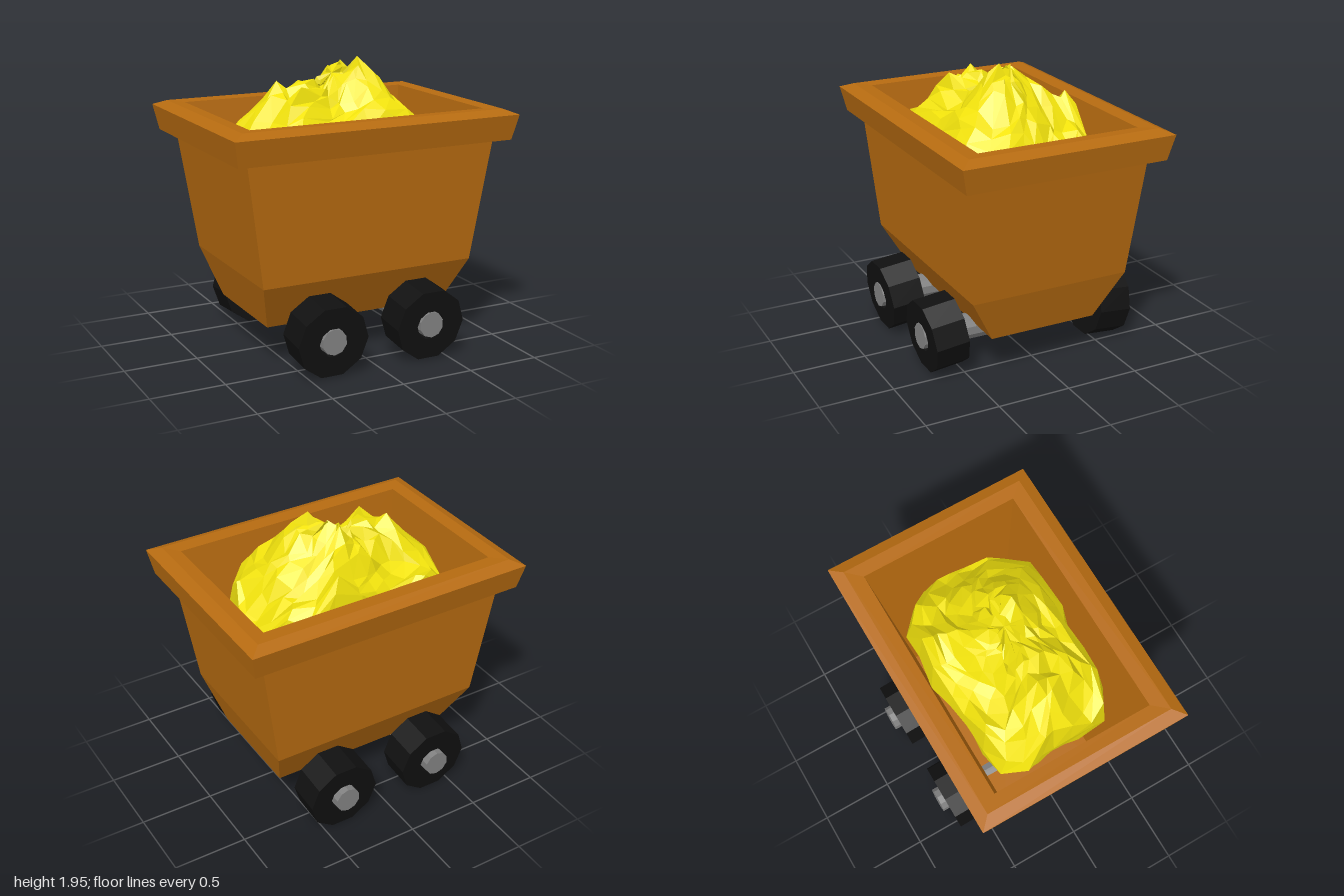
import * as THREE from 'three';

const wood = new THREE.MeshStandardMaterial({ color: 0xb56a10, flatShading: true });
const gold = new THREE.MeshStandardMaterial({ color: 0xf2e30c, flatShading: true });
const iron = new THREE.MeshStandardMaterial({ color: 0x808080, flatShading: true });
const rubber = new THREE.MeshStandardMaterial({ color: 0x101010, flatShading: true });

// Joins successive rings of points with faceted quads
function loft(rings) {
  const pos = [];
  const push = (...pts) => pts.forEach(p => pos.push(p.x, p.y, p.z));
  for (let r = 0; r < rings.length - 1; r++) {
    const lo = rings[r], hi = rings[r + 1], n = lo.length;
    for (let i = 0; i < n; i++) {
      const j = (i + 1) % n;
      push(lo[i], lo[j], hi[j], lo[i], hi[j], hi[i]);
    }
  }
  const g = new THREE.BufferGeometry();
  g.setAttribute('position', new THREE.Float32BufferAttribute(pos, 3));
  g.computeVertexNormals();
  return g;
}

// Rectangular section: height, half width, half depth
const rect = ([y, x, z]) =>
  [[x, z], [x, -z], [-x, -z], [-x, z]].map(([a, b]) => new THREE.Vector3(a, y, b));

function add(parent, name, geometry, material) {
  const mesh = new THREE.Mesh(geometry, material);
  mesh.name = name;
  parent.add(mesh);
  return mesh;
}

function seeded(seed) {
  return () => {
    seed = (seed * 16807) % 2147483647;
    return seed / 2147483647 - 0.5;
  };
}

// Jagged mound: the highest of several cones, broken up with jitter
function heapGeometry() {
  const peaks = [
    [0.16, 0.08, 1.95], [0.05, -0.06, 1.93], [-0.22, 0.04, 1.87], [-0.4, 0.0, 1.81],
    [-0.32, 0.2, 1.78], [0.15, -0.26, 1.77], [0.2, -0.4, 1.73], [0.28, 0.24, 1.75],
    [-0.42, -0.3, 1.62], [0.48, -0.3, 1.58], [-0.6, 0.3, 1.52], [0.6, 0.25, 1.52], [-0.1, 0.38, 1.6]
  ];
  const rnd = seeded(77);
  const height = (x, z) => Math.max(1.3, ...peaks.map(([px, pz, h]) => h - 1.15 * Math.hypot(x - px, z - pz)));
  const n = 26, rings = [];
  const scale = [0.84, 1, 0.95, 0.84, 0.72, 0.6, 0.48, 0.36, 0.24, 0.12, 0];
  scale.forEach((t, k) => {
    const ring = [];
    for (let i = 0; i < n; i++) {
      const a = (i / n) * Math.PI * 2, c = Math.cos(a), s = -Math.sin(a);
      const q = t / Math.pow(c ** 4 + s ** 4, 0.25) * (1 + 0.05 * Math.sin(5 * a + 1));
      const jitter = t ? 0.055 : 0;
      const x = THREE.MathUtils.clamp(0.71 * c * q + rnd() * jitter, -0.75, 0.75);
      const z = THREE.MathUtils.clamp(0.48 * s * q + rnd() * jitter, -0.51, 0.51);
      const y = k === 0 ? 0.85 : k === 1 ? 1.22 + rnd() * 0.15 : height(x, z) + rnd() * (t ? 0.07 : 0);
      ring.push(new THREE.Vector3(x, Math.min(y, 1.95), z));
    }
    rings.push(ring);
  });
  return loft(rings);
}

export function createModel() {
  const cart = new THREE.Group();
  cart.name = 'mineCart';

  // Tub: outer shell, overhanging rim and tapered inside
  add(cart, 'tubShell', loft([
    [0.285, 0, 0], [0.285, 0.655, 0.375], [0.605, 0.755, 0.555], [1.43, 0.877, 0.615]
  ].map(rect)), wood);
  add(cart, 'tubRim', loft([
    [1.43, 0.85, 0.59], [1.425, 0.967, 0.695], [1.595, 1, 0.733],
    [1.628, 0.92, 0.655], [1.622, 0.83, 0.555]
  ].map(rect)), wood);
  add(cart, 'tubInside', loft([
    [1.622, 0.83, 0.555], [0.32, 0.655, 0.372], [0.32, 0, 0]
  ].map(rect)), wood);

  add(cart, 'goldHeap', heapGeometry(), gold);

  // Ten-sided wheels with a hole, splayed outward at the top
  const tyre = [[0.1, -0.115], [0.247, -0.115], [0.247, 0.115], [0.1, 0.115], [0.1, -0.115]]
    .map(([r, h]) => new THREE.Vector2(r, h));
  const wheelGeo = new THREE.LatheGeometry(tyre, 10, Math.PI / 10).rotateX(Math.PI / 2);
  const axleGeo = new THREE.CylinderGeometry(0.087, 0.087, 1.505, 10).rotateX(Math.PI / 2);

  for (const [side, x] of [['left', 0.355], ['right', -0.355]]) {
    const axle = add(cart, side + 'Axle', axleGeo, iron);
    axle.position.set(x, 0.25, -0.005);
    axle.rotation.x = -0.01;
    const front = add(cart, side + 'FrontWheel', wheelGeo, rubber);
    front.position.set(x, 0.263, 0.62);
    front.rotation.x = 0.108;
    const back = add(cart, side + 'BackWheel', wheelGeo, rubber);
    back.position.set(x, 0.248, -0.595);
    back.rotation.x = -0.09;
  }
  return cart;
}
